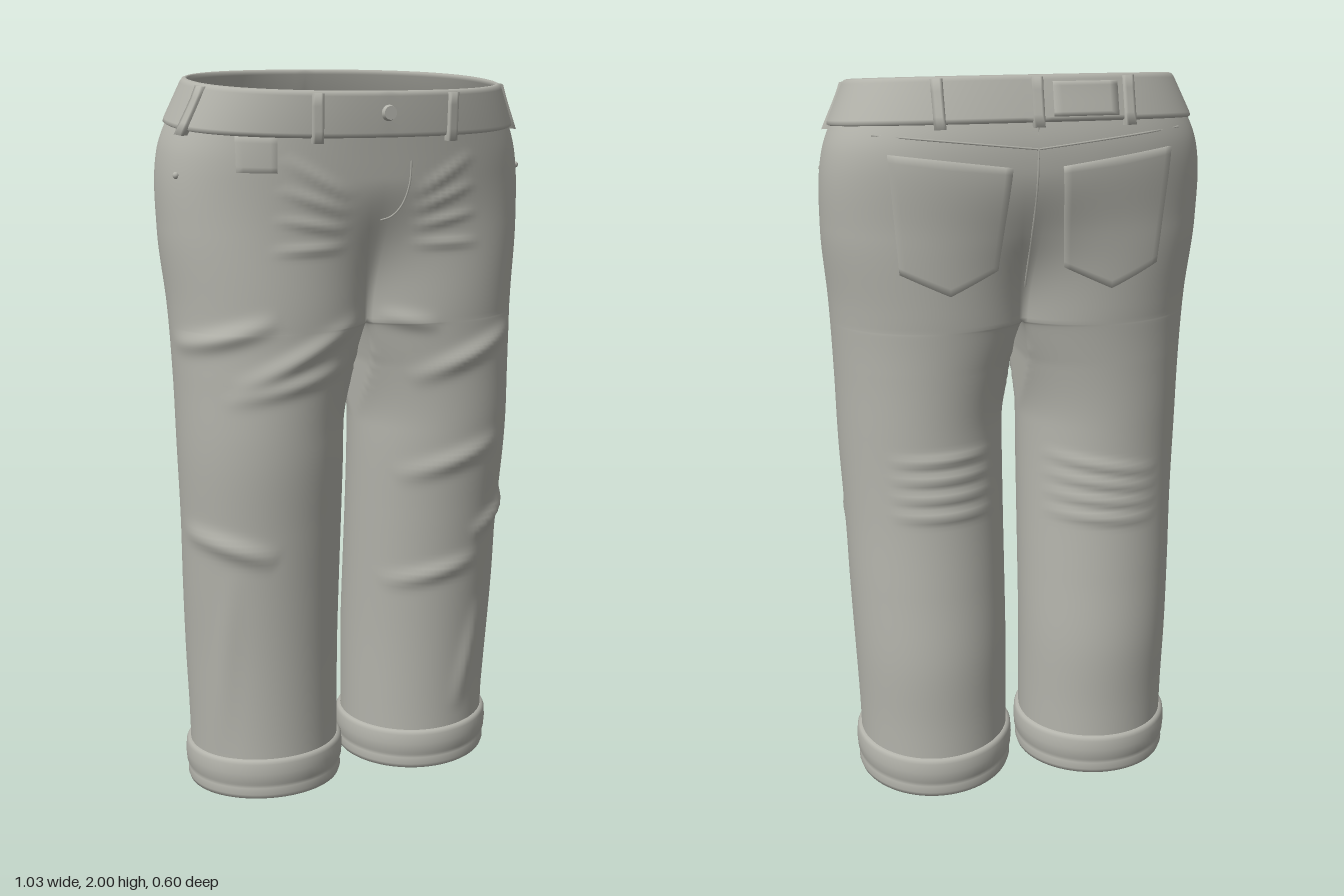
import * as THREE from 'three';
import { mergeGeometries, mergeVertices } from 'three/addons/utils/BufferGeometryUtils.js';

const { clamp, lerp, smoothstep } = THREE.MathUtils;
const CROTCH = 1.35, B = 2.44, CB = Math.cos(B); // B: ring angle where a leg meets the centre seam

// Half-width and depth profiles, sampled every 0.2 in height
const profile = (vals) => {
  const c = new THREE.SplineCurve(vals.map((v) => new THREE.Vector2(0, v)));
  return (y) => c.getPoint(clamp(y / 2, 0, 1)).y;
};
const outerX = profile([.45, .453, .46, .468, .474, .483, .488, .497, .512, .5, .42]);
const frontZ = profile([.19, .19, .197, .21, .227, .245, .247, .25, .258, .272, .285]);
const backZ = profile([-.235, -.232, -.235, -.22, -.205, -.198, -.203, -.222, -.258, -.288, -.25]);

// Cloth folds: x1, y1, x2, y2, width, height
const frontFolds = [
  [-.40, 1.20, -.03, 1.37, .025, .014], [-.52, 1.30, -.28, 1.38, .025, .016], [-.42, 1.17, -.06, 1.25, .022, .010],
  [.02, 1.37, .18, 1.34, .022, .010], [.10, 1.19, .46, 1.32, .025, .016], [.08, .91, .40, 1.01, .025, .014],
  [.06, .59, .34, .66, .022, .014], [.30, .72, .50, .82, .022, .014], [.28, .18, .36, .52, .025, .010],
  [-.50, .80, -.28, .73, .025, .016], [-.42, .12, -.40, .70, .025, .006], [.43, .2, .45, .7, .025, .006],
];
for (const s of [-1, 1]) for (let i = 0; i < 4; i++)
  frontFolds.push([s * .09, 1.56 + i * .045, s * (.30 - i * .01), 1.56 + i * .085, .013, .007]);
const backFolds = [];
for (let i = 0; i < 4; i++) {
  backFolds.push([.08, 1.0 - i * .055, .38, .99 - i * .05, .014, .010]);
  backFolds.push([-.06, .97 - i * .055, -.38, .91 - i * .045, .014, .010]);
}
const foldHeight = (folds, x, y) => folds.reduce((sum, [x1, y1, x2, y2, w, h]) => {
  const dx = x2 - x1, dy = y2 - y1;
  const t = clamp(((x - x1) * dx + (y - y1) * dy) / (dx * dx + dy * dy), 0, 1);
  const d = Math.hypot(x - x1 - t * dx, y - y1 - t * dy) / w;
  return d > 3 ? sum : sum + h * Math.sin(Math.PI * t) * Math.exp(-d * d);
}, 0);

// Plan outline of one half at ring angle a (0 = outer side, positive = front)
const spow = (v) => Math.sign(v) * Math.abs(v) ** 0.85;
function outline(a, v) {
  const out = outerX(v), cz = (frontZ(v) + backZ(v)) / 2, rz = (frontZ(v) - backZ(v)) / 2;
  const inner = 0.026 * Math.sqrt(clamp((CROTCH - v) / 0.12, 0, 1));
  const cb = lerp(-1, CB, smoothstep(v, 1.05, CROTCH));
  let x = inner + (out - inner) * clamp((Math.cos(a) - cb) / (1 - cb), 0, 1);
  let z = cz + rz * Math.sin(a);
  if (v > CROTCH) {
    const w = smoothstep(v, CROTCH, 1.75), phi = a * Math.PI / 2 / B;
    x = lerp(x, out * spow(Math.max(0, Math.cos(phi))), w);
    z = lerp(z, cz + rz * spow(Math.sin(phi)), w);
  }
  return [x, z];
}

// Point on the cloth of side s (+1 or -1), pushed outward by off
function cloth(a, v, s, off = 0) {
  const [x, z] = outline(a, v), e = 0.01;
  const limit = v >= CROTCH ? B : 10;
  const [x0, z0] = outline(Math.max(a - e, -limit), v), [x1, z1] = outline(Math.min(a + e, limit), v);
  const len = Math.hypot(x1 - x0, z1 - z0) || 1, nx = (z1 - z0) / len, nz = (x0 - x1) / len;
  const d = off + foldHeight(frontFolds, s * x, v) * smoothstep(nz, -.1, .4)
    + foldHeight(backFolds, s * x, v) * smoothstep(-nz, -.1, .4);
  const px = x < 1e-5 ? 0 : Math.max(0, x + nx * d), pz = z + nz * d;
  return new THREE.Vector3(s * px, v - 0.09 * pz * smoothstep(v, 1.55, 1.87), pz);
}

// Ring address of a front (+1) or back (-1) position given by x and height
function at(x, v, face) {
  let lo = 0, hi = B;
  for (let i = 0; i < 30; i++) {
    const mid = (lo + hi) / 2;
    if (outline(mid, v)[0] > Math.abs(x)) lo = mid; else hi = mid;
  }
  return [face * lo, v, x < 0 ? -1 : 1];
}

// Grid surface through f(u, v)
function grid(nu, nv, f, flip = false) {
  const pos = [], idx = [];
  for (let j = 0; j <= nv; j++) for (let i = 0; i <= nu; i++) pos.push(...f(i / nu, j / nv).toArray());
  for (let j = 0; j < nv; j++) for (let i = 0; i < nu; i++) {
    const p = j * (nu + 1) + i, q = p + nu + 1;
    if (flip) idx.push(p, p + 1, q + 1, p, q + 1, q);
    else idx.push(p, q + 1, p + 1, p, q, q + 1);
  }
  const g = new THREE.BufferGeometry();
  g.setAttribute('position', new THREE.Float32BufferAttribute(pos, 3));
  g.setIndex(idx);
  return g;
}
function smooth(parts) {
  const g = mergeVertices(mergeGeometries(parts), 1e-4);
  g.computeVertexNormals();
  return g;
}
const both = (fn) => [1, -1].flatMap(fn);

export function createModel() {
  const group = new THREE.Group();
  const denim = new THREE.MeshStandardMaterial({ color: 0xb3b3ab });
  denim.name = 'grey cloth';
  denim.side = THREE.DoubleSide;
  const add = (name, geo) => {
    const m = new THREE.Mesh(geo, denim);
    m.name = name;
    group.add(m);
    return m;
  };

  // Legs and hips as one smooth shell
  const legV = (t) => lerp(0.08, CROTCH, 1 - (1 - t) ** 1.3);
  add('legsAndHips', smooth(both((s) => [
    grid(80, 100, (u, t) => cloth(lerp(-B, B, u), legV(t), s), s < 0),
    grid(18, 100, (u, t) => cloth(lerp(B, 2 * Math.PI - B, u), legV(t), s), s < 0),
    grid(80, 56, (u, t) => cloth(lerp(-B, B, u), lerp(CROTCH, 1.95, t), s), s < 0),
  ])));

  // Waistband, folded over the rim
  const band = [[0, 1.862], [.008, 1.866], [.010, 1.875], [.010, 1.965], [.007, 1.975], [0, 1.978],
    [-.006, 1.975], [-.009, 1.965], [-.009, 1.875], [-.001, 1.865]];
  add('waistband', smooth(both((s) => grid(72, band.length - 1, (u, t) => {
    const [off, v] = band[Math.round(t * (band.length - 1))];
    return cloth(lerp(-B, B, u), v, s, off);
  }, s < 0))));

  // Turned-up cuffs
  const cuff = [[0, .130], [.008, .128], [.013, .118], [.015, .09], [.013, .062], [.006, .053], [.009, .045],
    [.010, .025], [.006, .013], [-.004, .010], [-.014, .016], [-.018, .04], [-.016, .10], [-.002, .12]];
  for (const s of [1, -1]) {
    add(s > 0 ? 'leftCuff' : 'rightCuff', smooth([grid(72, cuff.length - 1, (u, t) => {
      const [off, y] = cuff[Math.round(t * (cuff.length - 1))];
      const a = lerp(-Math.PI, Math.PI, u), p = cloth(a, 0.1, s, off);
      p.y = y + 0.04 * p.z + 0.003 * Math.sin(2 * a + s);
      return p;
    }, s < 0)]));
  }

  // Raised plates that follow the cloth: address(u, v) gives a ring address
  const plate = (name, n, off, flip, address) => {
    const inset = (u) => clamp((u * n - 1) / (n - 2), 0, 1);
    const g = grid(n, n, (u, v) => {
      const edge = Math.min(u, v, 1 - u, 1 - v) < 1e-6;
      return cloth(...address(inset(u), inset(v)), edge ? -0.004 : off);
    }, flip);
    g.computeVertexNormals();
    return add(name, g);
  };
  for (const s of [1, -1]) {
    plate('backPocket', 18, 0.009, s < 0, (u, v) => {
      const top = 1.76 + 0.035 * u, bottom = 1.51 - 0.06 * (1 - Math.abs(2 * u - 1));
      const x = 0.215 + (u - 0.5) * lerp(0.25, 0.30, v);
      return at(s * x, lerp(bottom, top, v), -1);
    });
    plate('sideBeltLoop', 6, 0.018, s < 0, (u, v) => [lerp(.30, .46, u), lerp(1.852, 1.972, v), s]);
  }
  for (const [x, face] of [[-.185, 1], [.185, 1], [-.24, -1], [0, -1], [.24, -1]])
    plate('beltLoop', 6, 0.018, face > 0, (u, v) => at(x + (u - 0.5) * 0.028, lerp(1.85, 1.972, v), face));
  plate('coinPatch', 8, 0.003, true, (u, v) => at(lerp(-.375, -.28, u), lerp(1.77, 1.862, v), 1));
  plate('backPatch', 10, 0.013, false, (u, v) => at(lerp(-.21, -.04, u), lerp(1.875, 1.96, v), -1));

  // Seams laid on the cloth
  const seam = (name, face, pts) => add(name, new THREE.TubeGeometry(
    new THREE.CatmullRomCurve3(pts.map(([x, v]) => cloth(...at(x, v, face), 0))), 32, 0.003, 5));
  seam('flySeam', 1, [[.075, 1.80], [.072, 1.73], [.055, 1.67], [.03, 1.64], [.002, 1.63]]);
  for (const s of [1, -1])
    seam('yokeSeam', -1, [0.002, .1, .2, .3, .4].map((x) => [s * x, 1.80 + 0.1 * x]));
  seam('backSeam', -1, [[0, 1.86], [0, 1.75], [0, 1.65], [0, 1.55], [0, 1.45]]);

  // Button and rivets
  const button = add('button', new THREE.CylinderGeometry(0.017, 0.021, 0.014, 24));
  button.rotation.x = Math.PI / 2;
  button.position.copy(cloth(...at(0, 1.925, 1), 0.014));
  for (const s of [1, -1]) {
    const rivet = add('rivet', new THREE.SphereGeometry(0.009, 12, 8));
    rivet.position.copy(cloth(.42, 1.75, s, 0));
  }
  return group;
}
